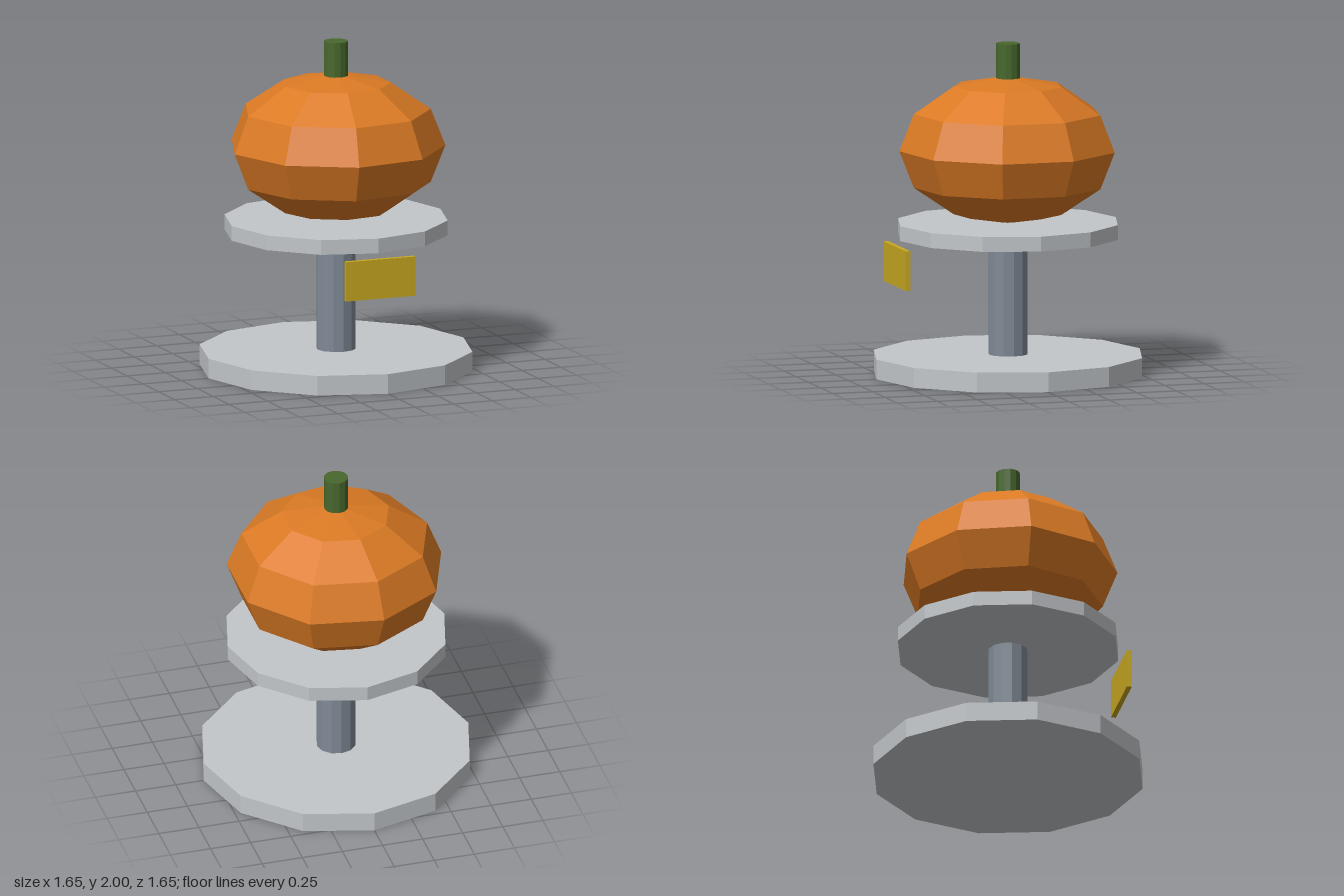
import * as THREE from 'three';

export function createModel() {
  const model = new THREE.Group();
  model.name = 'pumpkinStand';

  const material = (name, color, flatShading = true) => {
    const m = new THREE.MeshStandardMaterial({ color, flatShading });
    m.name = name;
    return m;
  };
  const paleGrey = material('pale grey', 0xc2c6c9);
  const steel = material('steel blue grey', 0x808a96);
  const orange = material('pumpkin orange', 0xdb7a24);
  const green = material('stem green', 0x48682d);
  const yellow = material('plaque yellow', 0xc9a922);

  const add = (name, geometry, mat, x, y, z) => {
    const mesh = new THREE.Mesh(geometry, mat);
    mesh.name = name;
    mesh.position.set(x, y, z);
    model.add(mesh);
    return mesh;
  };

  // Upright twelve-sided cylinder between two heights
  const column = (name, radius, bottom, top, mat) =>
    add(name, new THREE.CylinderGeometry(radius, radius, top - bottom, 12), mat, 0, (bottom + top) / 2, 0);

  // Stand
  column('base', 0.825, 0, 0.12, paleGrey);
  column('post', 0.119, 0.12, 0.83, steel);
  column('platform', 0.675, 0.83, 0.92, paleGrey);

  // Plaque floating ahead of the post
  add('plaque', new THREE.BoxGeometry(0.45, 0.24, 0.03), yellow, 0, 0.68, 0.695);

  // Squashed faceted pumpkin, resting slightly into the platform
  const pumpkinShape = new THREE.SphereGeometry(0.656, 9, 6);
  pumpkinShape.scale(1, 0.68, 1);
  add('pumpkin', pumpkinShape, orange, 0, 1.357, 0);
  column('stem', 0.073, 1.76, 2, green);

  return model;
}
